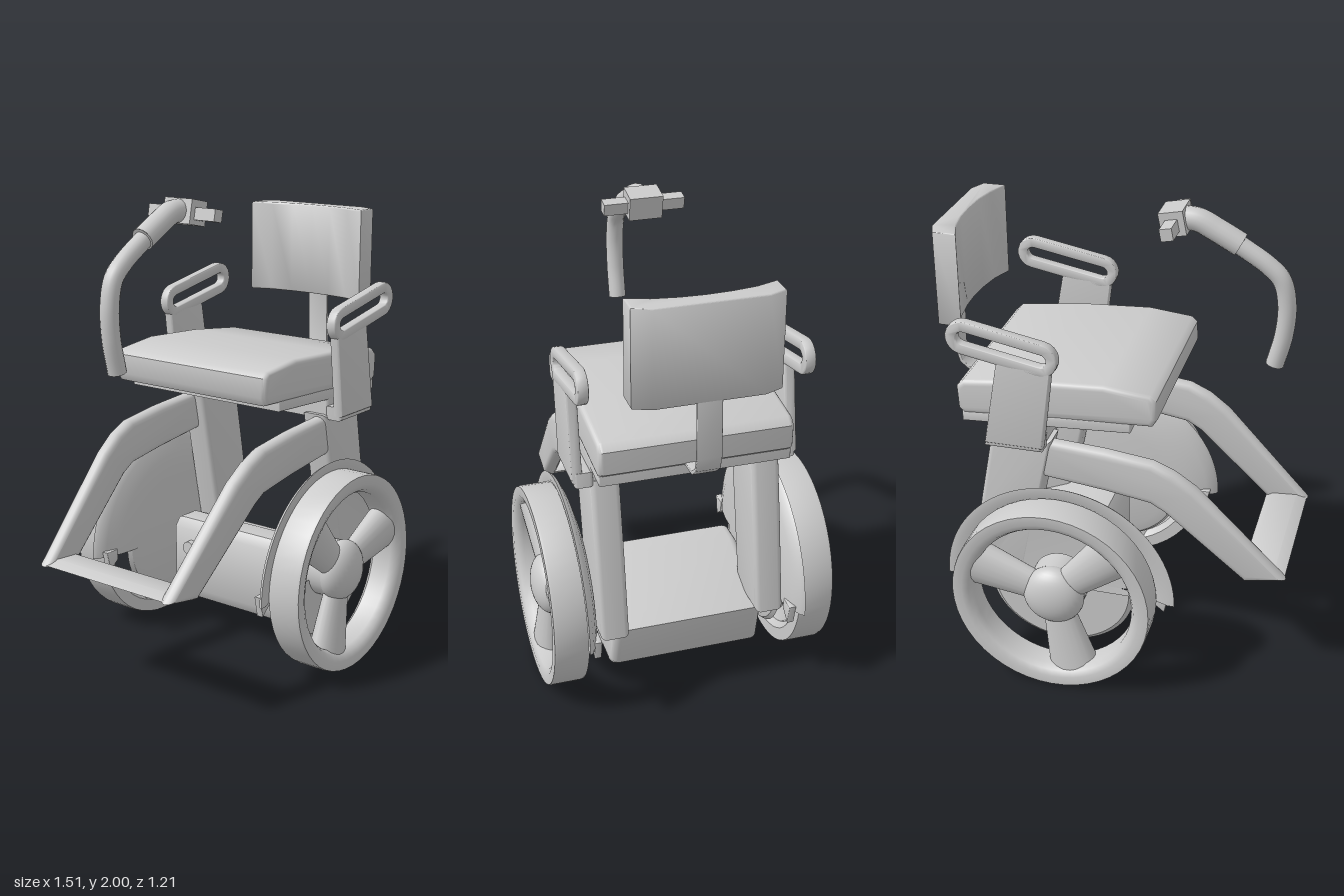
import * as THREE from 'three';
import { toCreasedNormals } from 'three/addons/utils/BufferGeometryUtils.js';

const material = new THREE.MeshStandardMaterial({ color: 0xcccccc });
const thinMaterial = new THREE.MeshStandardMaterial({ color: 0xcccccc, side: THREE.DoubleSide });
const MID = 0.012; // the body sits slightly off the wheel centre line
const AXLE = { x: 0.18, y: 0.43 };

function add(parent, name, geometry, x = 0, y = 0, z = 0, mat = material) {
  const mesh = new THREE.Mesh(geometry, mat);
  mesh.name = name;
  mesh.position.set(x, y, z);
  parent.add(mesh);
  return mesh;
}

const v2 = (pts) => pts.map(([x, y]) => new THREE.Vector2(x, y));
const v3 = (pts) => pts.map(([x, y, z = 0]) => new THREE.Vector3(x, y, z));

// Side profile (x, y) given depth along z, centred on z = 0, with rounded edges
function slab(pts, depth, bevel = 0.01, hole = null) {
  const shape = new THREE.Shape(v2(pts));
  if (hole) shape.holes.push(new THREE.Path(v2(hole)));
  const geometry = new THREE.ExtrudeGeometry(shape, {
    depth: depth - 2 * bevel, bevelSize: bevel, bevelThickness: bevel,
    bevelOffset: -bevel, bevelSegments: 4, curveSegments: 8,
  });
  geometry.translate(0, 0, bevel - depth / 2);
  return toCreasedNormals(geometry, 0.7);
}

function tube(pts, radius) {
  const curve = new THREE.CatmullRomCurve3(v3(pts), false, 'centripetal');
  return new THREE.TubeGeometry(curve, 48, radius, 16);
}

// Tilted stadium outline of the armrest handle
function stadium(radius) {
  const pts = [];
  for (const [cx, cy, from] of [[0.235, 1.48, 0.5], [0.55, 1.54, 1.5]]) {
    for (let k = 0; k <= 10; k++) {
      const a = 0.19 + Math.PI * (from + k / 10);
      pts.push([cx + radius * Math.cos(a), cy + radius * Math.sin(a)]);
    }
  }
  return pts;
}

// Lathe turned so its axis points outward along z on side s
function turned(profile, s, start = 0, length = Math.PI * 2) {
  const geometry = new THREE.LatheGeometry(v2(profile), 48, start, length);
  geometry.rotateX(s * Math.PI / 2);
  return toCreasedNormals(geometry, 0.6);
}

function addWheel(parent, s) {
  const wheel = new THREE.Group();
  wheel.name = s > 0 ? 'leftWheel' : 'rightWheel';
  wheel.position.set(AXLE.x, AXLE.y, s * 0.528);
  parent.add(wheel);
  add(wheel, 'tyre', turned([
    [0.345, -0.05], [0.37, -0.072], [0.425, -0.072], [0.428, -0.06], [0.428, 0.06],
    [0.425, 0.072], [0.385, 0.072], [0.36, 0.06], [0.345, 0.035], [0.345, -0.05],
  ], s), 0, 0, 0, thinMaterial);
  add(wheel, 'hub', new THREE.SphereGeometry(0.132, 32, 20)).scale.z = 0.58;
  const axle = new THREE.CylinderGeometry(0.125, 0.125, 0.12, 32);
  add(wheel, 'axle', axle.rotateX(Math.PI / 2), 0, 0, -s * 0.06);
  for (let i = 0; i < 3; i++) {
    const spoke = new THREE.CylinderGeometry(0.108, 0.065, 0.3, 20, 1, true);
    spoke.scale(1, 1, 0.62);
    spoke.translate(0, 0.21, 0);
    spoke.rotateZ((17 + i * 120 - 90) * Math.PI / 180);
    add(wheel, 'spoke', spoke, 0, 0, -s * 0.01, thinMaterial);
  }
}

function addFender(parent, s) {
  const fender = new THREE.Group();
  fender.name = s > 0 ? 'leftFender' : 'rightFender';
  fender.position.set(AXLE.x, 0.4, MID + s * 0.392);
  parent.add(fender);
  // Upper half: a dish that flares out over the wheel
  const top = s * Math.PI / 2;
  add(fender, 'fenderDish', turned([
    [0, 0], [0.3, 0], [0.38, 0.01], [0.45, 0.032], [0.49, 0.052], [0.5, 0.068], [0.47, 0.068], [0.42, 0.05],
  ], s, top, Math.PI), 0, 0, 0, thinMaterial);
  // Lower half: a smaller, slightly wider cover
  add(fender, 'lowerCover', turned([
    [0, 0], [0.23, 0], [0.275, 0.012], [0.288, 0.028], [0.27, 0.042], [0, 0.042],
  ], s, -top, Math.PI), 0, 0, 0, thinMaterial).scale.x = 1.1;
  // Small clips at the ends of the arch
  for (const side of [-1, 1]) {
    add(fender, 'fenderClip', slab([
      [side * 0.4, 0.03], [side * 0.4, -0.02], [side * 0.45, -0.06], [side * 0.47, 0.03],
    ], 0.03, 0.004), 0, 0, s * 0.025, thinMaterial);
  }
}

function addSideFrame(parent, s) {
  add(parent, 'upright', slab([
    [0.22, 1.08], [0.36, 0.395], [0.6, 0.395], [0.54, 0.76], [0.48, 1.08],
  ], 0.12, 0.022), 0, 0, MID + s * 0.333);

  // Leg rail, drawn in slightly toward the foot bar
  const rail = slab([
    [0.3, 1.075], [0.0, 1.055], [-0.2, 1.03], [-0.29, 0.99], [-0.38, 0.925], [-0.76, 0.53],
    [-0.59, 0.5], [-0.25, 0.8], [-0.19, 0.835], [0.0, 0.865], [0.3, 0.9],
  ], 0.068, 0.032);
  const p = rail.attributes.position;
  for (let i = 0; i < p.count; i++) {
    p.setZ(i, p.getZ(i) - s * 0.03 * THREE.MathUtils.smoothstep(-p.getX(i), 0.2, 0.72));
  }
  add(parent, 'legRail', rail, 0, 0, MID + s * 0.352);

  // Armrest: plate, inward foot and flat looped handle
  const arm = new THREE.Group();
  arm.name = s > 0 ? 'leftArmrest' : 'rightArmrest';
  arm.position.z = MID + s * 0.445;
  parent.add(arm);
  add(arm, 'armPlate', slab([[0.19, 1.44], [0.235, 1.08], [0.48, 1.08], [0.415, 1.45]], 0.045, 0.01));
  add(arm, 'armFoot', slab([[0.235, 1.12], [0.24, 1.06], [0.485, 1.06], [0.475, 1.12]], 0.08, 0.015), 0, 0, -s * 0.025);
  add(arm, 'armHandle', slab(stadium(0.072), 0.045, 0.008, stadium(0.026)));
}

function addController(parent) {
  const controller = new THREE.Group();
  controller.name = 'controller';
  controller.position.z = -0.01;
  parent.add(controller);
  add(controller, 'controlArm', tube([
    [-0.62, 1.362], [-0.65, 1.5], [-0.655, 1.63], [-0.63, 1.73], [-0.575, 1.785], [-0.44, 1.87],
  ], 0.038));
  add(controller, 'controlGrip', tube([[-0.46, 1.862], [-0.37, 1.91], [-0.29, 1.948], [-0.22, 1.953]], 0.048));
  // Flat ends closing the two tubes
  for (const [x, y, radius, angle] of [[-0.62, 1.362, 0.038, -1.35], [-0.46, 1.862, 0.048, 3.64]]) {
    const cap = new THREE.CircleGeometry(radius, 16).rotateY(Math.PI / 2);
    add(controller, 'endCap', cap, x, y, 0, thinMaterial).rotation.z = angle;
  }
  add(controller, 'controlHead', new THREE.BoxGeometry(0.1, 0.1, 0.14), -0.2, 1.945).rotation.z = -0.2;
  add(controller, 'crossHandle', new THREE.BoxGeometry(0.05, 0.05, 0.34), -0.2, 1.94).rotation.z = -0.2;
}

export function createModel() {
  const model = new THREE.Group();
  model.name = 'poweredWheelchair';

  for (const s of [1, -1]) {
    addWheel(model, s);
    addFender(model, s);
    addSideFrame(model, s);
  }

  // Seat
  add(model, 'seatCushion', slab([
    [-0.22, 1.24], [-0.2, 1.205], [0.2, 1.187], [0.59, 1.16], [0.615, 1.18],
    [0.62, 1.28], [0.59, 1.31], [0.3, 1.345], [0.0, 1.362], [-0.19, 1.342], [-0.215, 1.32],
  ], 0.79, 0.022), 0, 0, MID);
  add(model, 'seatBase', slab([[-0.11, 1.21], [-0.11, 1.165], [0.6, 1.125], [0.6, 1.17]], 0.78, 0.006), 0, 0, MID);
  add(model, 'crossBeam', slab([[0.24, 1.16], [0.24, 1.06], [0.475, 1.06], [0.465, 1.15]], 0.78, 0.012), 0, 0, MID);

  // Foot bar joining the leg rails
  add(model, 'footBar', slab([[-0.755, 0.535], [-0.59, 0.5], [-0.57, 0.52], [-0.6, 0.545], [-0.71, 0.556]], 0.66, 0.008),
    0, 0, MID);

  // Battery and motor housing between the wheels, with a round boss in front
  add(model, 'batteryBox', slab([
    [0.07, 0.48], [0.07, 0.2], [0.1, 0.15], [0.45, 0.15], [0.5, 0.19], [0.54, 0.38], [0.2, 0.52], [0.1, 0.52],
  ], 0.65, 0.035), 0, 0, MID);
  const boss = new THREE.CylinderGeometry(0.03, 0.03, 0.04, 20);
  add(model, 'batteryBoss', boss.rotateZ(Math.PI / 2), 0.06, 0.4, -0.2);

  // Back pad: curved plan raised upward
  const half = [[0.67, 0], [0.665, 0.1], [0.65, 0.2], [0.618, 0.293], [0.715, 0.293], [0.745, 0.22]];
  const plan = [...half, ...half.slice(1).reverse().map(([x, z]) => [x, -z])];
  const pad = slab(plan, 0.4, 0.008);
  pad.rotateX(-Math.PI / 2);
  add(model, 'backPad', pad, 0, 1.7, MID);

  // Back support: a thin strap bent under the seat
  const outer = [[0.73, 1.62], [0.745, 1.5], [0.752, 1.27], [0.735, 1.21], [0.69, 1.172], [0.5, 1.162]];
  const inner = [[0.5, 1.177], [0.685, 1.187], [0.722, 1.218], [0.738, 1.27], [0.731, 1.5], [0.715, 1.62]];
  add(model, 'backSupport', slab([...outer, ...inner], 0.1, 0.003), 0, 0, MID, thinMaterial);

  addController(model);
  return model;
}
